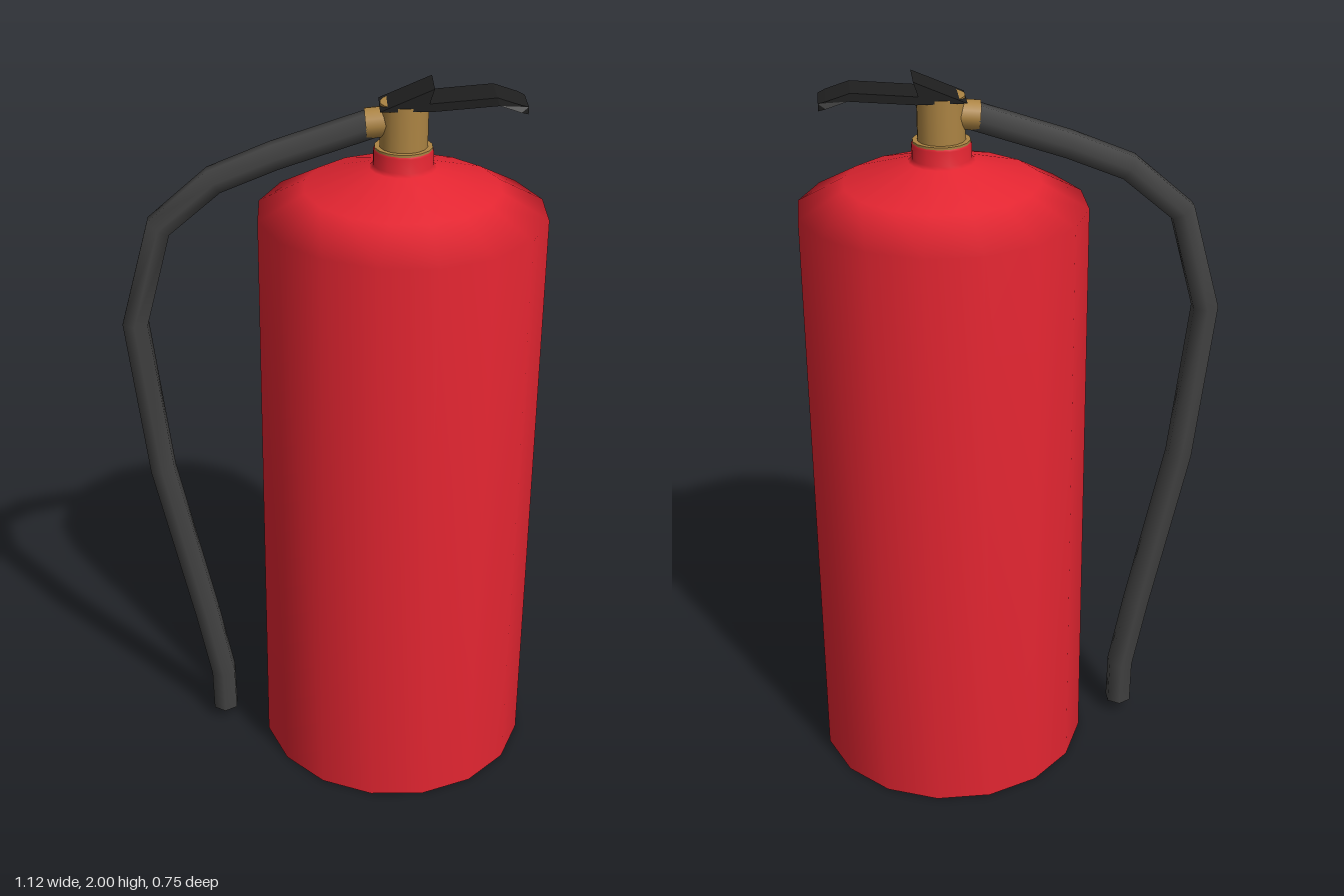
import * as THREE from 'three';

const AXIS_X = 0.184; // centre line of the cylinder and valve

const mat = (name, color, side = THREE.FrontSide) => {
  const m = new THREE.MeshStandardMaterial({ color, side });
  m.name = name;
  return m;
};

// Curve that visits each given point exactly, so the hose keeps its straight runs
class BentPath extends THREE.Curve {
  constructor(points) {
    super();
    this.points = points.map(([x, y]) => new THREE.Vector3(x, y, 0));
  }
  index(u) { return Math.round(u * (this.points.length - 1)); }
  getPoint(u) { return this.points[this.index(u)].clone(); }
  getPointAt(u) { return this.getPoint(u); }
  getTangentAt(u) {
    const p = this.points, i = this.index(u), dir = new THREE.Vector3();
    if (i > 0) dir.add(p[i].clone().sub(p[i - 1]).normalize());
    if (i < p.length - 1) dir.add(p[i + 1].clone().sub(p[i]).normalize());
    return dir.normalize();
  }
}

export function createModel() {
  const group = new THREE.Group();
  const red = mat('red paint', 0xe32531, THREE.DoubleSide);
  const brass = mat('brass', 0xac8443);
  const rubber = mat('grey rubber', 0x424242);
  const black = mat('black lever', 0x1f1f1f);

  const add = (name, geometry, material) => {
    const mesh = new THREE.Mesh(geometry, material);
    mesh.name = name;
    group.add(mesh);
    return mesh;
  };
  const lathe = (profile, sides) => new THREE.LatheGeometry(
    profile.map(([r, y]) => new THREE.Vector2(r, y)), sides)
    .rotateY(Math.PI / sides).translate(AXIS_X, 0, 0);

  // Cylinder with sloping shoulder and neck, open underneath
  add('cylinder', lathe([
    [0.384, 0], [0.384, 1.655], [0.26, 1.722], [0.088, 1.776],
    [0.079, 1.785], [0.079, 1.822], [0.074, 1.83],
  ], 16), red);

  // Valve: flange on the neck and upright stem
  add('valveFlange', new THREE.CylinderGeometry(0.076, 0.076, 0.014, 16)
    .rotateY(Math.PI / 16).translate(AXIS_X, 1.826, 0), brass);
  add('valveStem', new THREE.CylinderGeometry(0.063, 0.063, 0.125, 16)
    .rotateY(Math.PI / 16).translate(AXIS_X, 1.887, 0), brass);

  // Outlet joining stem and hose
  const outlet = add('hoseOutlet',
    new THREE.CylinderGeometry(0.04, 0.04, 0.065, 12).rotateZ(Math.PI / 2), brass);
  outlet.position.set(0.118, 1.896, 0);
  outlet.rotation.z = 0.1;

  // Six-sided hose hanging beside the cylinder
  const path = new BentPath([
    [0.1, 1.892], [-0.148, 1.808], [-0.307, 1.742], [-0.455, 1.614], [-0.53, 1.335],
    [-0.477, 0.88], [-0.37, 0.386], [-0.328, 0.17], [-0.325, 0.036],
  ]);
  add('hose', new THREE.TubeGeometry(path, path.points.length - 1, 0.039, 6), rubber);
  add('hoseEnd', new THREE.CircleGeometry(0.039, 6).rotateX(Math.PI / 2)
    .rotateY(Math.PI / 2).translate(-0.325, 0.036, 0), rubber);

  // Lever: raised wedge and drooping grip, extruded across the width
  const outline = [
    [0.12, 1.941], [0.25, 1.941], [0.42, 1.956], [0.475, 1.938], [0.494, 1.931],
    [0.494, 1.95], [0.475, 1.957], [0.413, 1.977], [0.244, 1.962], [0.256, 2.0],
  ].map(([x, y]) => new THREE.Vector2(x, y));
  const lever = new THREE.ExtrudeGeometry(new THREE.Shape(outline),
    { depth: 0.118, bevelEnabled: false }).translate(0, 0, -0.059);
  // Narrow the tip in plan
  const pos = lever.attributes.position;
  for (let i = 0; i < pos.count; i++) {
    if (pos.getX(i) > 0.49) pos.setZ(i, pos.getZ(i) * 0.84);
  }
  lever.computeVertexNormals();
  add('lever', lever, black);

  return group;
}
